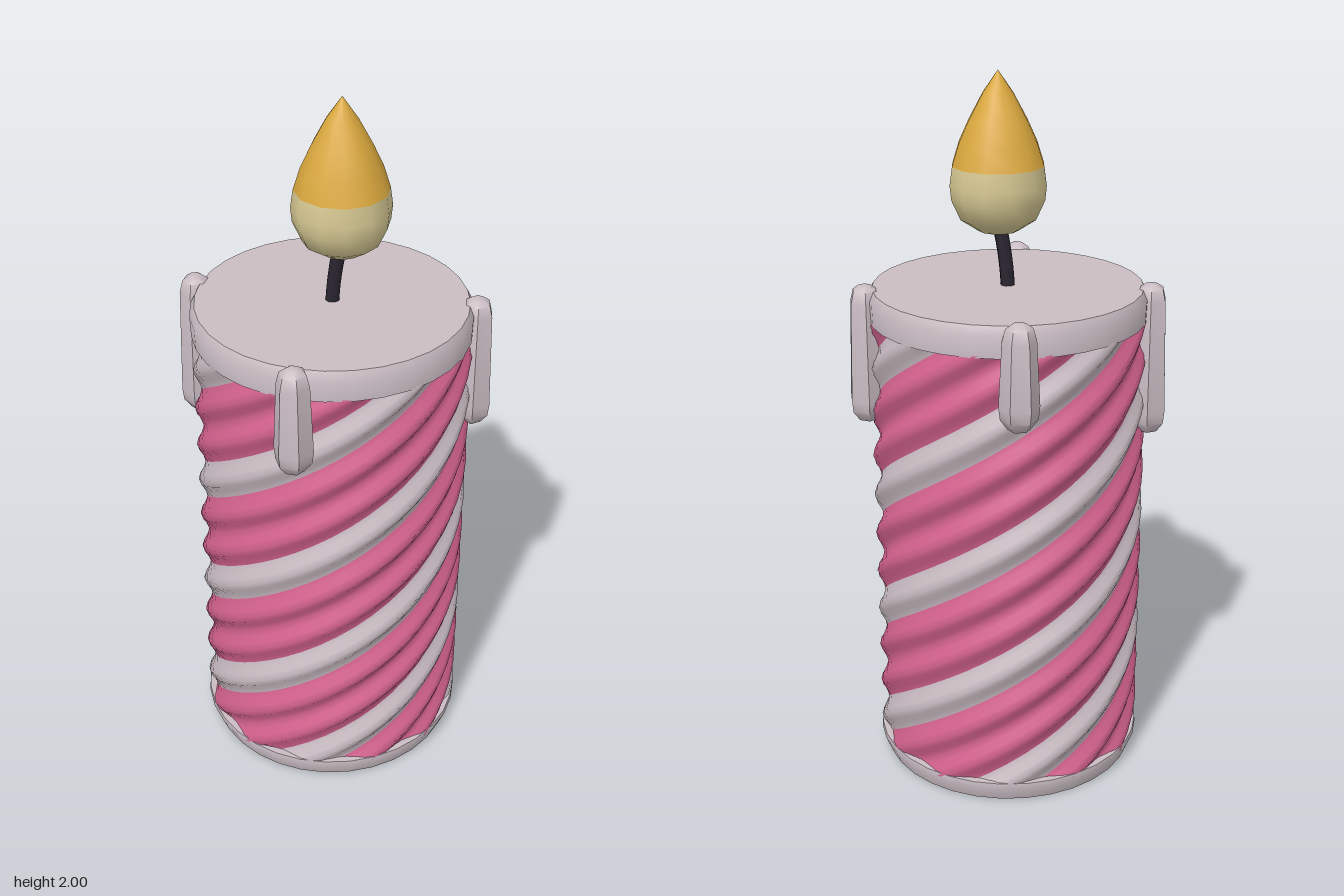
import * as THREE from 'three';
import { toCreasedNormals } from 'three/addons/utils/BufferGeometryUtils.js';

const CX = 0.01, CZ = -0.01;      // candle axis
const Y0 = 0.05, Y1 = 1.34;       // twisted part of the body
const STRIPE_RISE = 0.365;        // height gained per quarter turn
const deg = THREE.MathUtils.degToRad;

const mat = (name, color) => {
  const m = new THREE.MeshStandardMaterial({ color });
  m.name = name;
  return m;
};

const lathe = (points, sides, crease = 0.6) =>
  toCreasedNormals(new THREE.LatheGeometry(points.map(([r, y]) => new THREE.Vector2(r, y)), sides), crease);

// A helical strip of the ribbed body between two starting angles (degrees)
function twistedStrip(from, to) {
  const cols = Math.round((to - from) / 5), rows = 40;
  const pos = [], index = [];
  for (let j = 0; j <= rows; j++) {
    const y = Y0 + (Y1 - Y0) * j / rows;
    for (let i = 0; i <= cols; i++) {
      const a = from + (to - from) * i / cols;
      const r = 0.374 + 0.011 * Math.cos(deg(12 * a));
      const t = deg(a + 90 * (y + 0.005) / STRIPE_RISE);
      pos.push(Math.sin(t) * r, y, Math.cos(t) * r);
      if (i < cols && j < rows) {
        const p = j * (cols + 1) + i, q = p + cols + 1;
        index.push(p, p + 1, q + 1, p, q + 1, q);
      }
    }
  }
  const g = new THREE.BufferGeometry();
  g.setAttribute('position', new THREE.Float32BufferAttribute(pos, 3));
  g.setIndex(index);
  g.computeVertexNormals();
  return g;
}

export function createModel() {
  const model = new THREE.Group();
  model.name = 'candle';
  const wax = mat('pale wax', 0xcabdc3);
  const pink = mat('pink wax', 0xd4628e);
  const black = mat('wick black', 0x2a2530);
  const gold = mat('flame gold', 0xdaa83e);
  const cream = mat('flame cream', 0xd8ca94);

  const add = (name, geometry, material, x = CX, y = 0, z = CZ) => {
    const mesh = new THREE.Mesh(geometry, material);
    mesh.name = name;
    mesh.position.set(x, y, z);
    model.add(mesh);
    return mesh;
  };

  // Body: four narrow pale stripes and four wide pink ones
  const paleGeo = twistedStrip(-15, 15), pinkGeo = twistedStrip(15, 75);
  for (let k = 0; k < 4; k++) {
    add('paleStripe', paleGeo, wax).rotation.y = k * Math.PI / 2;
    add('pinkStripe', pinkGeo, pink).rotation.y = k * Math.PI / 2;
  }

  // Base ring and top rim with their closing discs
  add('base', lathe([[0, 0], [0.368, 0], [0.386, 0.045], [0.384, 0.06], [0.34, 0.06]], 32), wax);
  add('rim', lathe([[0.34, 1.335], [0.384, 1.335], [0.386, 1.395], [0.373, 1.42], [0, 1.42]], 32), wax);

  // Wax drips: six-sided drops, fuller at the lower end
  const drips = [
    [0.085, 0.378, 1.12], [0.373, -0.16, 1.04],
    [-0.118, -0.383, 1.14], [-0.378, 0.052, 1.0],
  ];
  for (const [x, z, bottom] of drips) {
    const h = 1.435 - bottom;
    const profile = [
      [0, 0], [0.03, 0.008], [0.05, 0.035], [0.054, 0.07],
      [0.045, h - 0.05], [0.036, h - 0.015], [0.018, h - 0.002], [0, h],
    ];
    const drip = add('waxDrip', lathe(profile, 6, 0.9), wax, x, bottom, z);
    drip.rotation.y = Math.atan2(x - CX, z - CZ) + Math.PI / 2;
  }

  // Wick
  const path = new THREE.CatmullRomCurve3([[0, 1.4], [0.004, 1.46], [0.013, 1.53], [0.027, 1.6]]
    .map(([x, y]) => new THREE.Vector3(x, y, 0)));
  add('wick', new THREE.TubeGeometry(path, 8, 0.02, 8), black);

  // Flame: cream bulb below, gold tip above
  add('flameBase', lathe([[0, 1.57], [0.055, 1.572], [0.105, 1.605], [0.13, 1.66], [0.134, 1.7], [0.127, 1.75]], 12, 0.7), cream, 0.037);
  add('flameTip', lathe([[0.127, 1.75], [0.108, 1.81], [0.08, 1.87], [0.042, 1.94], [0, 2]], 12, 0.7), gold, 0.037);

  return model;
}
